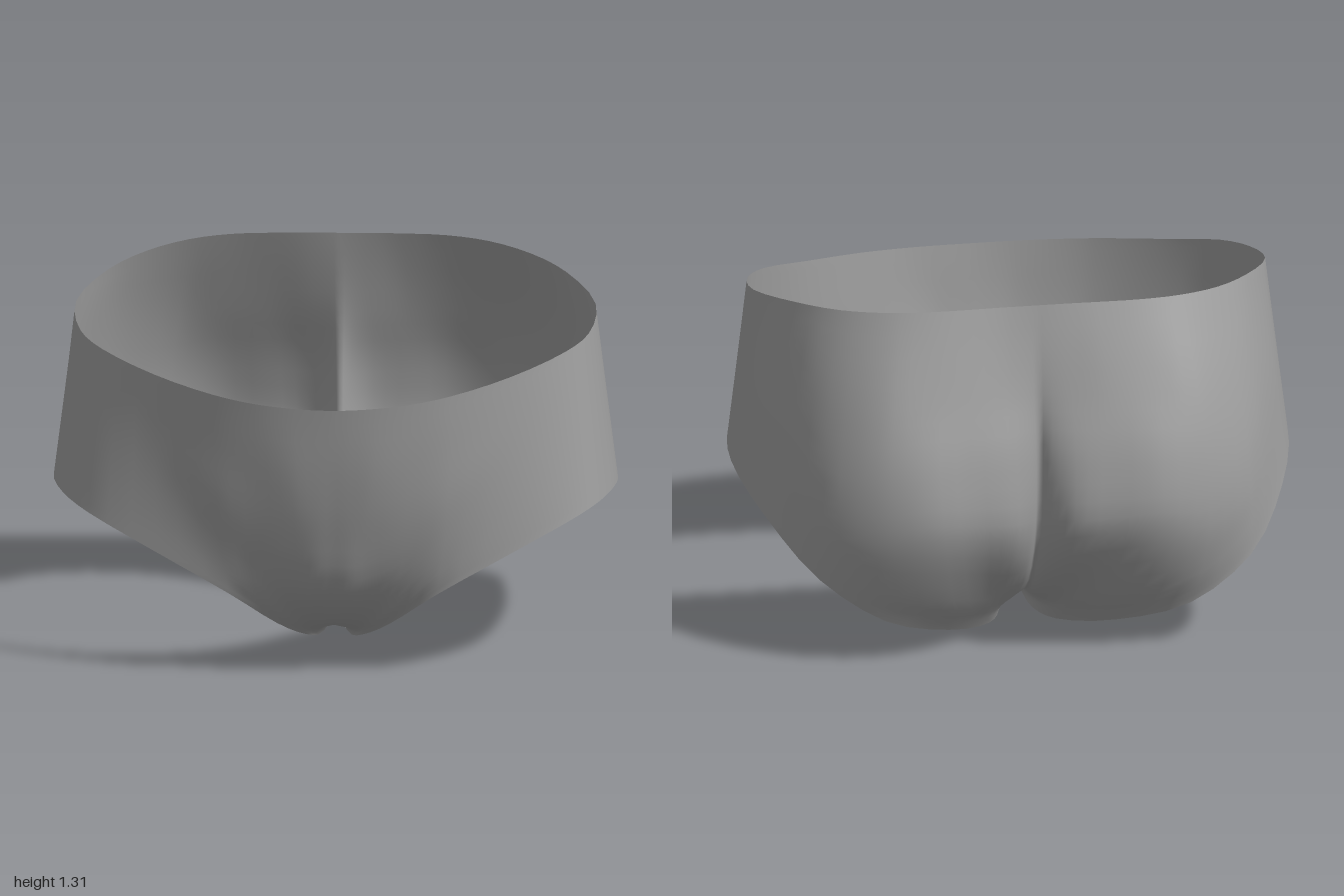
import * as THREE from 'three';

// Columns run from waist to leg opening: x, y, z triples, on the model's left half.
const frontColumns = [
  [0, 1.055, .755, 0, .8, .72, 0, .56, .67, 0, .34, .595, 0, .155, .4, 0, .09, .04],
  [.07, 1.056, .752, .06, .8, .72, .06, .56, .67, .06, .33, .59, .07, .15, .39, .04, .022, .04],
  [.17, 1.06, .74, .15, .8, .715, .13, .57, .665, .13, .34, .58, .12, .17, .42, .1, .08, .28],
  [.28, 1.067, .715, .27, .83, .69, .26, .6, .65, .24, .4, .59, .22, .26, .52, .2, .17, .44],
  [.42, 1.082, .66, .42, .9, .645, .41, .7, .63, .4, .53, .6, .38, .4, .575, .37, .315, .555],
];
// The hips are nearly straight from waist to leg opening.
const hipColumns = [
  [.63, 1.115, .53, .63, .79, .53, .63, .46, .53],
  [.82, 1.16, .37, .845, .86, .395, .87, .57, .42],
  [.9, 1.185, .23, .93, .89, .25, .96, .595, .27],
  [.92, 1.225, 0, .96, .9, 0, 1, .58, 0],
  [.81, 1.265, -.25, .885, .87, -.285, .93, .48, -.3],
];
// The seat bulges and folds in at the centre.
const backColumns = [
  [.68, 1.285, -.405, .73, 1, -.5, .76, .75, -.56, .77, .58, -.575, .775, .44, -.565, .775, .32, -.55],
  [.53, 1.3, -.5, .57, .98, -.63, .6, .73, -.69, .6, .5, -.7, .58, .3, -.65, .55, .17, -.6],
  [.38, 1.308, -.54, .42, 1, -.65, .43, .75, -.735, .42, .52, -.755, .37, .25, -.64, .3, .075, -.48],
  [.22, 1.311, -.548, .25, 1, -.65, .26, .75, -.72, .24, .5, -.73, .19, .2, -.53, .12, .015, -.28],
  [.12, 1.312, -.548, .12, 1, -.63, .12, .75, -.7, .11, .48, -.7, .1, .16, -.43, .06, .005, -.13],
  [.06, 1.312, -.548, .05, 1, -.615, .04, .75, -.66, .035, .46, -.63, .035, .17, -.4, .04, .022, .04],
  [0, 1.312, -.548, 0, 1, -.6, 0, .75, -.615, 0, .45, -.575, 0, .18, -.37, 0, .09, .04],
];

const ROWS = 20, PER_COLUMN = 3;

function toCurve(numbers) {
  const points = [];
  for (let i = 0; i < numbers.length; i += 3) points.push(new THREE.Vector3().fromArray(numbers, i));
  return new THREE.CatmullRomCurve3(points);
}

// Closed rings of points, from the front centre round the left hip, the back and the right hip.
function clothGeometry() {
  const columns = [...frontColumns, ...hipColumns, ...backColumns].map(toCurve);
  const half = (columns.length - 1) * PER_COLUMN, ring = half * 2;
  const positions = [], index = [];
  for (let r = 0; r <= ROWS; r++) {
    const row = new THREE.CatmullRomCurve3(columns.map((c) => c.getPoint(r / ROWS)));
    for (let c = 0; c < ring; c++) {
      const mirrored = c > half;
      const p = row.getPoint((mirrored ? ring - c : c) / half);
      positions.push(mirrored ? -p.x : p.x, p.y, p.z);
    }
  }
  for (let r = 0; r < ROWS; r++) {
    for (let c = 0; c < ring; c++) {
      const next = (c + 1) % ring;
      const a = r * ring + c, b = r * ring + next, d = a + ring, e = b + ring;
      index.push(d, e, b, d, b, a);
    }
  }
  const geometry = new THREE.BufferGeometry();
  geometry.setAttribute('position', new THREE.Float32BufferAttribute(positions, 3));
  geometry.setIndex(index);
  geometry.computeVertexNormals();
  return geometry;
}

export function createModel() {
  const cloth = new THREE.MeshStandardMaterial({ color: 0x9f9f9f, side: THREE.DoubleSide });
  cloth.name = 'grey cloth';
  const briefs = new THREE.Mesh(clothGeometry(), cloth);
  briefs.name = 'briefs';
  const model = new THREE.Group();
  model.name = 'underwear';
  model.add(briefs);
  return model;
}
